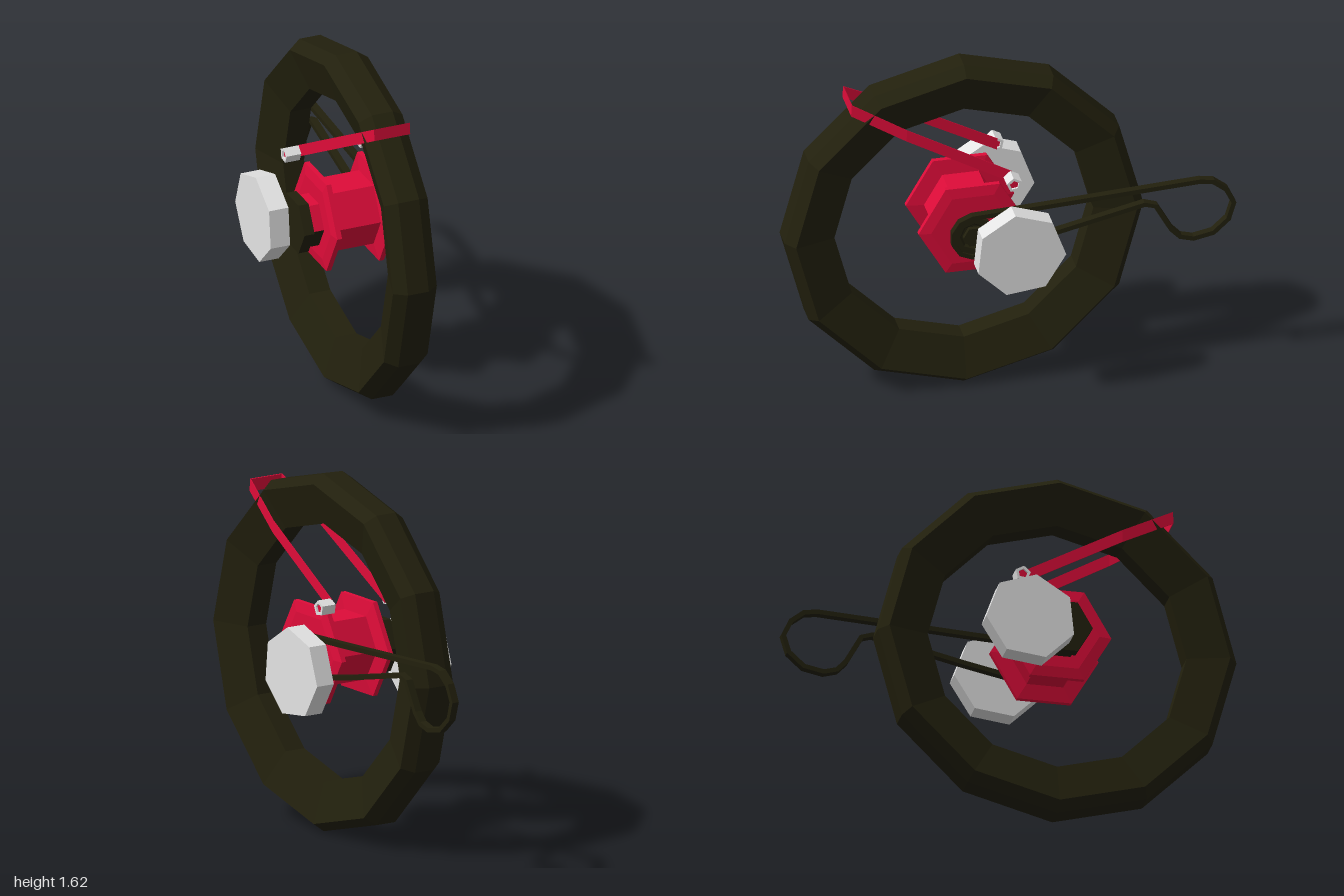
import * as THREE from 'three';

const flat = (name, color) => {
  const m = new THREE.MeshStandardMaterial({ color, flatShading: true, side: THREE.DoubleSide });
  m.name = name;
  return m;
};

export function createModel() {
  const model = new THREE.Group();
  const dark = flat('darkRubber', 0x22200d);
  const red = flat('redMetal', 0xdf0c39);
  const grey = flat('greyMetal', 0xe4e4e4);

  const add = (name, geometry, material) => {
    const mesh = new THREE.Mesh(geometry, material);
    mesh.name = name;
    model.add(mesh);
    return mesh;
  };

  // Low-poly turned part around the x axis; profile is [radius, x] pairs
  const turned = (name, material, profile, sides, y, z, start = 0, length = Math.PI * 2) => {
    const points = profile.map(([r, x]) => new THREE.Vector2(r, x));
    const g = new THREE.LatheGeometry(points, sides, start, length);
    g.rotateZ(-Math.PI / 2);
    g.translate(0, y, z);
    return add(name, g, material);
  };
  const disc = (name, material, r, x0, x1, sides, y, z, start, length) =>
    turned(name, material, [[0, x0], [r, x0], [r, x1], [0, x1]], sides, y, z, start, length);

  // Tyre with chamfered tread, tapering to a narrow inner rim
  turned('tyre', dark, [
    [0.585, -0.05], [0.77, -0.105], [0.81, -0.05], [0.81, 0.05],
    [0.77, 0.105], [0.585, 0.05], [0.585, -0.05],
  ], 12, 0.81, 0.195);

  // Spool-shaped hub with two chamfered flanges
  turned('hub', red, [
    [0, -0.146], [0.19, -0.146], [0.245, -0.138], [0.245, -0.115], [0.165, -0.105],
    [0.165, 0.105], [0.245, 0.115], [0.245, 0.138], [0.19, 0.146], [0, 0.146],
  ], 6, 0.83, 0.175);

  // Right side: carrier in two halves and its rotor
  disc('carrierTop', red, 0.117, -0.2, -0.14, 3, 0.82, 0.175, Math.PI, Math.PI);
  disc('carrierBottom', dark, 0.117, -0.2, -0.14, 3, 0.82, 0.175, 0, Math.PI);
  disc('rotor', dark, 0.136, -0.248, -0.2, 6, 0.82, 0.175);

  // Left side: axle stub and sprocket
  disc('axleStub', dark, 0.05, 0.14, 0.2, 6, 0.82, 0.18);
  turned('sprocket', dark, [
    [0, 0.172], [0.095, 0.172], [0.095, 0.19], [0.065, 0.19], [0.055, 0.18], [0, 0.18],
  ], 8, 0.82, 0.18);

  // Chain loop, traced as [-z, y] points and thickened into a band
  const path = [];
  for (let a = 95; a <= 265; a += 34) {
    const t = THREE.MathUtils.degToRad(a);
    path.push(new THREE.Vector2(-0.18 + 0.095 * Math.cos(t), 0.815 + 0.1 * Math.sin(t)));
  }
  for (const [u, v] of [
    [0.18, 0.79], [0.59, 0.883], [0.64, 0.867], [0.71, 0.74], [0.75, 0.697], [0.81, 0.68],
    [0.9, 0.698], [0.968, 0.76], [0.992, 0.84], [0.958, 0.912], [0.9, 0.958], [0.84, 0.968], [0.14, 0.93],
  ]) path.push(new THREE.Vector2(u, v));
  const offset = (d) => path.map((p, i) => {
    const prev = path[(i + path.length - 1) % path.length];
    const next = path[(i + 1) % path.length];
    const t = next.clone().sub(prev).normalize();
    return new THREE.Vector2(p.x + t.y * d, p.y - t.x * d);
  });
  const band = new THREE.Shape(offset(0.011));
  band.holes.push(new THREE.Path(offset(-0.011)));
  const chain = new THREE.ExtrudeGeometry(band, { depth: 0.034, bevelEnabled: false });
  chain.rotateY(Math.PI / 2);
  chain.translate(0.163, 0, 0);
  add('chain', chain, dark);

  // Thin U-shaped strap reaching over the tyre, its end cut at a slant
  const half = [[0.146, 0], [0.131, 0.54], [0.086, 0.815]];
  const side = (s, inset) => half.map(([x, l], i) =>
    new THREE.Vector2(s * (x - inset), i === 2 ? l - inset : l));
  const strapShape = new THREE.Shape([
    ...side(1, 0), ...side(-1, 0).reverse(), ...side(-1, 0.004), ...side(1, 0.004).reverse(),
  ]);
  const strap = new THREE.ExtrudeGeometry(strapShape, { depth: 0.05, bevelEnabled: false });
  strap.translate(0, 0, -0.025);
  strap.applyMatrix4(new THREE.Matrix4().makeShear(0, 0, 0, 0, 0, -0.5));
  strap.rotateX(THREE.MathUtils.degToRad(60.8));
  strap.translate(0, 1.075, 0);
  add('strap', strap, red);

  // Floating pegs and strap nuts on both sides
  const pegStart = THREE.MathUtils.degToRad(277);
  for (const s of [1, -1]) {
    const label = s > 0 ? 'left' : 'right';
    const [p0, p1] = s > 0 ? [0.27, 0.36] : [-0.363, -0.27];
    disc(label + 'Peg', grey, 0.205, p0, p1, 7, 0.797, 0.007, pegStart);
    const [n0, n1] = s > 0 ? [0.143, 0.213] : [-0.217, -0.147];
    turned(label + 'StrapNut', grey, [
      [0.022, n0], [0.036, n0], [0.036, n1], [0.022, n1], [0.022, n0],
    ], 5, 1.071, 0.003, pegStart);
    disc(label + 'StrapPin', red, 0.022, n0 + 0.01, n1 - 0.01, 5, 1.071, 0.003, pegStart);
  }

  return model;
}
